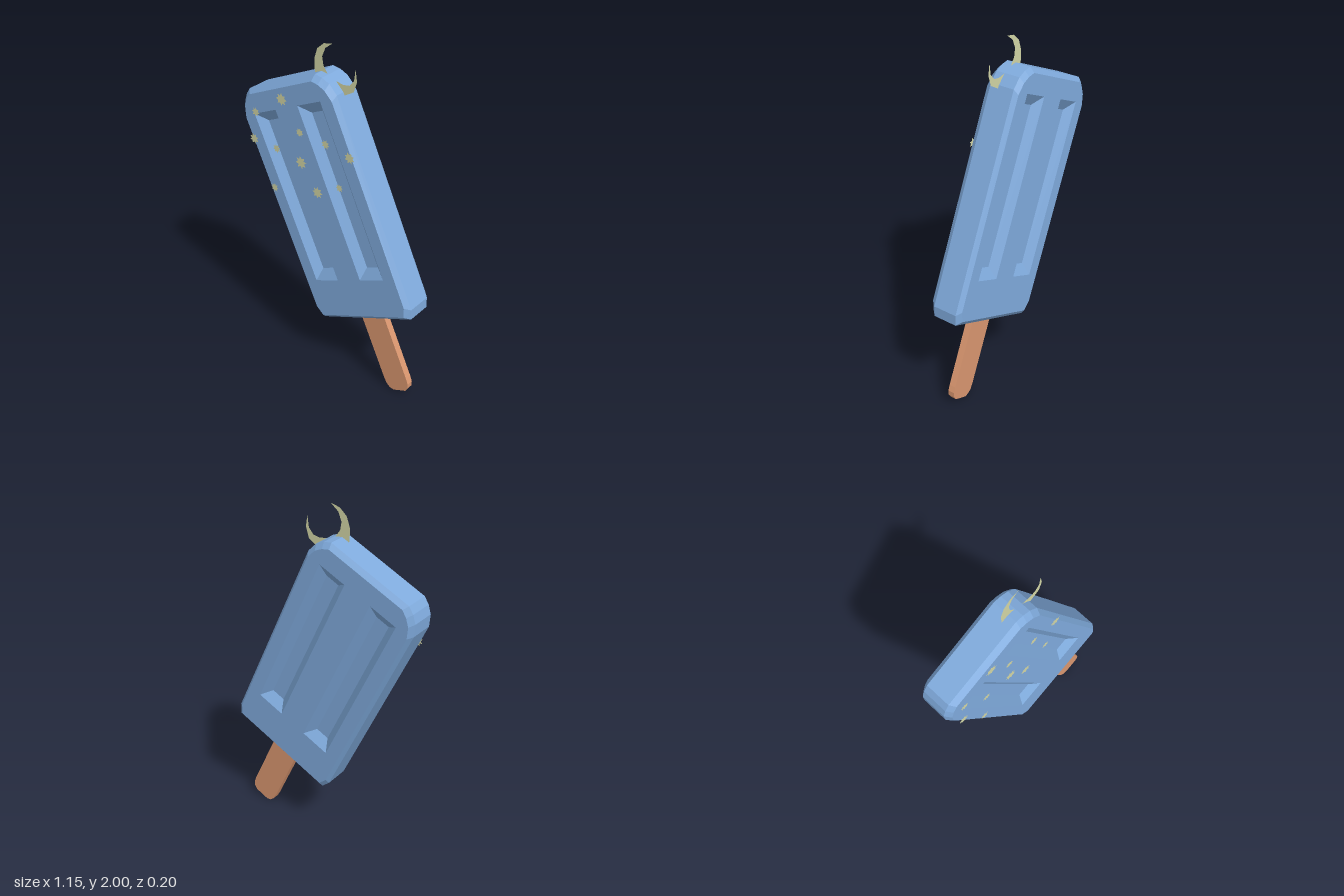
import * as THREE from 'three';

const mat = (name, color, extra = {}) => {
  const m = new THREE.MeshStandardMaterial({ color, ...extra });
  m.name = name;
  return m;
};

// quad strips joining successive loops of [x, y, z]; optional cap on the last loop
function loft(loops, cap = false) {
  const pos = [];
  for (let k = 0; k < loops.length - 1; k++) {
    const A = loops[k], B = loops[k + 1];
    for (let i = 0; i < A.length; i++) {
      const j = (i + 1) % A.length;
      pos.push(...A[i], ...B[i], ...B[j], ...A[i], ...B[j], ...A[j]);
    }
  }
  if (cap) {
    const L = loops[loops.length - 1];
    for (let i = 1; i < L.length - 1; i++) pos.push(...L[0], ...L[i + 1], ...L[i]);
  }
  const g = new THREE.BufferGeometry();
  g.setAttribute('position', new THREE.Float32BufferAttribute(pos, 3));
  g.computeVertexNormals();
  return g;
}

const toShape = pts => new THREE.Shape(pts.map(p => new THREE.Vector2(p[0], p[1])));

export function createModel() {
  const model = new THREE.Group();
  model.name = 'icePop';
  const blue = mat('blue ice', 0x7faadc);
  const wood = mat('wood', 0xd9966f);
  const gold = mat('pale gold', 0xd2d5a5, { side: THREE.DoubleSide });

  const add = (parent, name, geo, material) => {
    const mesh = new THREE.Mesh(geo, material);
    mesh.name = name;
    parent.add(mesh);
    return mesh;
  };

  // tilted frame for the bar and stick
  const bar = new THREE.Group();
  bar.name = 'bar';
  bar.position.set(0.406, 0.189, 0);
  bar.rotation.z = THREE.MathUtils.degToRad(25);
  model.add(bar);

  // bar outline, counter-clockwise
  const half = [[0.326, 0.308], [0.352, 0.365], [0.352, 1.57], [0.328, 1.635], [0.294, 1.673], [0.255, 1.698]];
  const outline = [...half, ...half.map(([x, y]) => [-x, y]).reverse()];
  const midY = 1.003;
  const inset = outline.map(([x, y]) => [x * 0.945, midY + (y - midY) * 0.962]);
  const at = (pts, z) => pts.map(([x, y]) => [x, y, z]);
  const depth = 0.098;
  add(bar, 'barSides', loft([at(inset, depth), at(outline, 0.068), at(outline, -0.075), at(inset, -depth)]), blue);

  // clockwise rectangle for the grooves
  const rect = (x0, x1, y0, y1) => [[x0, y0], [x0, y1], [x1, y1], [x1, y0]];
  const grooves = [[-0.255, -0.085], [0.085, 0.255]];
  for (const side of ['front', 'back']) {
    const panel = new THREE.Group();
    panel.name = side + 'Panel';
    if (side === 'back') panel.rotation.y = Math.PI;
    bar.add(panel);
    const face = toShape(inset);
    for (const [x0, x1] of grooves) {
      const rim = rect(x0, x1, 0.557, 1.563);
      const floor = rect(x0 + 0.045, x1 - 0.045, 0.615, 1.505);
      face.holes.push(new THREE.Path(rim.map(p => new THREE.Vector2(...p))));
      add(panel, side + 'Groove', loft([at(rim, depth), at(floor, depth - 0.04)], true), blue);
    }
    add(panel, side + 'Face', new THREE.ShapeGeometry(face).translate(0, 0, depth), blue);
  }

  // stick with a rounded foot
  const foot = [[0.045, -0.188], [0.068, -0.172], [0.081, -0.145], [0.084, -0.11], [0.084, 0.36]];
  const stick = toShape([...foot, ...foot.map(([x, y]) => [-x, y]).reverse()]);
  add(bar, 'stick', new THREE.ExtrudeGeometry(stick, { depth: 0.04, bevelEnabled: false }).translate(0, 0, -0.02), wood);

  // flat crescent horns
  const horns = {
    rightHorn: [[-0.01, 2.0], [-0.065, 1.988], [-0.108, 1.95], [-0.128, 1.89], [-0.125, 1.82], [-0.08, 1.79],
      [0.0, 1.795], [-0.04, 1.83], [-0.068, 1.87], [-0.076, 1.915], [-0.055, 1.965]],
    leftHorn: [[0.137, 1.905], [0.147, 1.84], [0.128, 1.78], [0.07, 1.745], [0.03, 1.75],
      [0.0, 1.81], [0.06, 1.8], [0.1, 1.807], [0.128, 1.84]],
  };
  for (const [name, pts] of Object.entries(horns))
    add(model, name, new THREE.ShapeGeometry(toShape(pts)).translate(0, 0, 0.017), gold);

  // scattered eight-pointed stars: x, y, radius
  const stars = [
    [-0.285, 1.645, 0.037], [-0.475, 1.512, 0.027], [-0.163, 1.492, 0.026], [0.012, 1.482, 0.027],
    [0.17, 1.457, 0.033], [-0.495, 1.345, 0.032], [-0.33, 1.34, 0.026], [-0.157, 1.315, 0.038],
    [0.105, 1.257, 0.024], [-0.045, 1.172, 0.035], [-0.355, 1.087, 0.027],
  ];
  stars.forEach(([x, y, r], n) => {
    const pts = [];
    for (let i = 0; i < 16; i++) {
      const a = (i / 16) * Math.PI * 2 + n * 0.7;
      const q = i % 2 ? r * 0.6 : r;
      pts.push([x + q * Math.cos(a), y + q * Math.sin(a)]);
    }
    add(model, 'star', new THREE.ShapeGeometry(toShape(pts)).translate(0, 0, depth + 0.003), gold);
  });

  return model;
}
